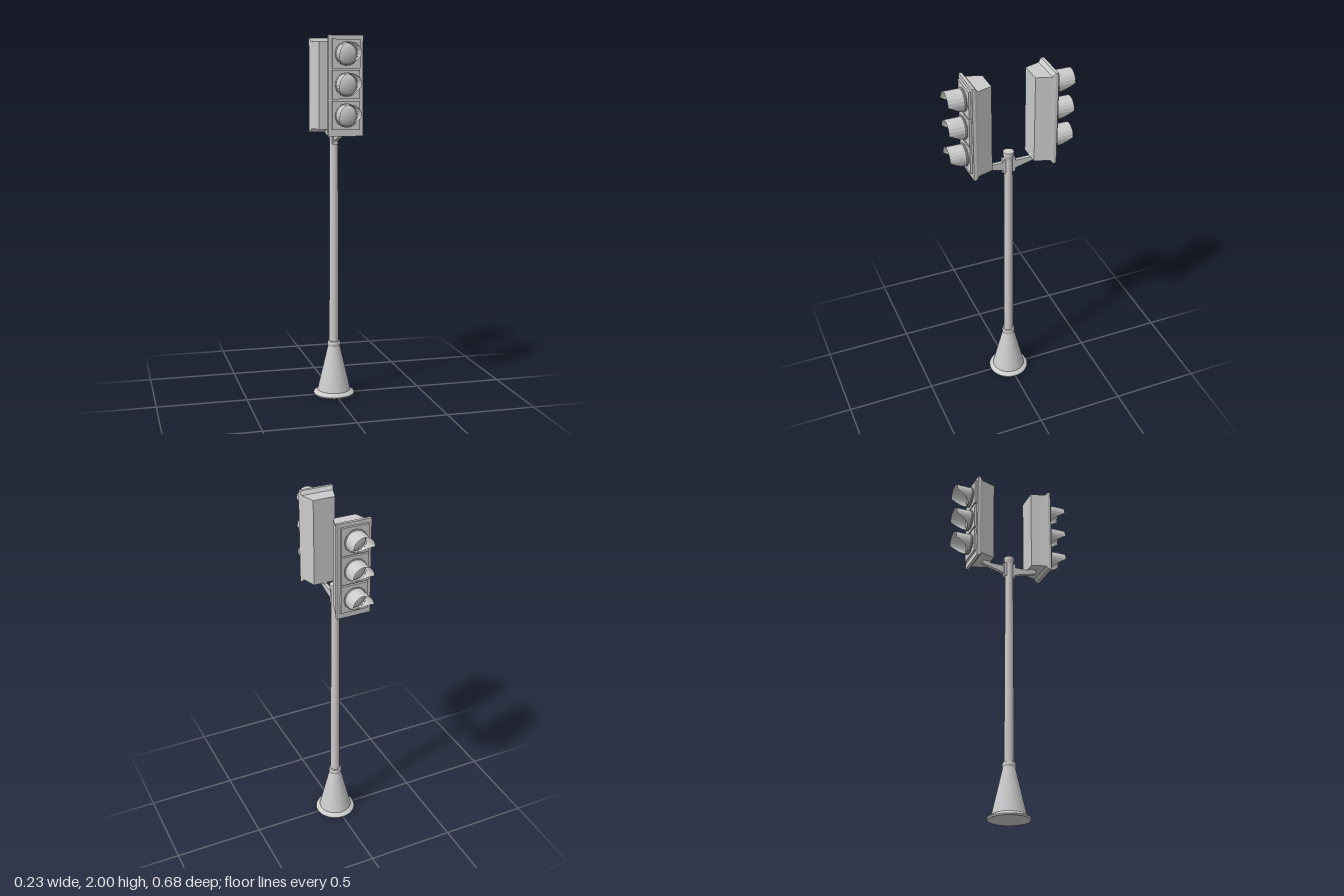
import * as THREE from 'three';

const flat = new THREE.MeshStandardMaterial({ color: 0xcccccc, flatShading: true });
const smooth = new THREE.MeshStandardMaterial({ color: 0xcccccc });
const thin = new THREE.MeshStandardMaterial({ color: 0xcccccc, flatShading: true, side: THREE.DoubleSide });

function add(parent, name, geometry, material = flat) {
  const mesh = new THREE.Mesh(geometry, material);
  mesh.name = name;
  parent.add(mesh);
  return mesh;
}

const lathe = (points, sides) =>
  new THREE.LatheGeometry(points.map(([r, y]) => new THREE.Vector2(r, y)), sides);

// Box whose cross-section changes along z: rows of [z, halfWidth, bottom, top]
function loftedBox(rows) {
  const n = rows.length - 1;
  const geometry = new THREE.BoxGeometry(1, 1, 1, 1, 1, n);
  const p = geometry.attributes.position;
  for (let i = 0; i < p.count; i++) {
    const [z, half, bottom, top] = rows[Math.round((p.getZ(i) + 0.5) * n)];
    p.setXYZ(i, Math.sign(p.getX(i)) * half, p.getY(i) > 0 ? top : bottom, z);
  }
  geometry.computeVertexNormals();
  return geometry;
}

// Visor: open tube along z with its lower half cut back towards the lamp
function visorGeometry(radius, back, front, lowFront) {
  const geometry = new THREE.CylinderGeometry(radius, radius, 2, 20, 1, true);
  geometry.rotateX(Math.PI / 2);
  const p = geometry.attributes.position;
  for (let i = 0; i < p.count; i++) {
    const rise = 1 + Math.min(0, p.getY(i) / radius);
    const tip = lowFront + (front - lowFront) * Math.pow(rise, 1.3);
    p.setZ(i, p.getZ(i) > 0 ? tip : back);
  }
  geometry.computeVertexNormals();
  return geometry;
}

function createLamp(y) {
  const lamp = new THREE.Group();
  lamp.name = 'lamp';
  lamp.position.y = y;
  add(lamp, 'lampPanel', new THREE.BoxGeometry(0.15, 0.151, 0.014)).position.z = 0.235;

  const collar = lathe([[0.055, 0.24], [0.063, 0.249], [0.063, 0.253], [0.057, 0.255]], 20);
  add(lamp, 'visorCollar', collar.rotateX(Math.PI / 2), thin);
  add(lamp, 'visor', visorGeometry(0.058, 0.242, 0.342, 0.262), thin);

  // Shallow domed lens
  const dome = new THREE.SphereGeometry(0.055, 24, 8, 0, Math.PI * 2, 0, Math.PI / 2);
  dome.rotateX(Math.PI / 2).scale(1, 1, 0.4);
  add(lamp, 'lens', dome, smooth).position.z = 0.242;
  return lamp;
}

function createSignalHead() {
  const head = new THREE.Group();
  head.name = 'signalHead';
  // Housing narrows to the rear and flares into the front plate
  add(head, 'housing', loftedBox([
    [0.117, 0.062, 1.494, 1.98],
    [0.199, 0.088, 1.494, 1.98],
    [0.214, 0.094, 1.475, 2.0],
    [0.23, 0.094, 1.475, 2.0],
  ]));
  for (const y of [1.904, 1.745, 1.585]) head.add(createLamp(y));
  return head;
}

function createBracket() {
  const bracket = new THREE.Group();
  bracket.name = 'bracket';
  add(bracket, 'clamp', new THREE.BoxGeometry(0.028, 0.084, 0.02)).position.set(0, 1.462, 0.025);
  // Arm tapers outwards and ends in a pad under the housing
  add(bracket, 'arm', loftedBox([
    [0.03, 0.01, 1.436, 1.485],
    [0.118, 0.01, 1.459, 1.485],
    [0.122, 0.01, 1.46, 1.496],
    [0.165, 0.01, 1.472, 1.496],
  ]));
  return bracket;
}

export function createModel() {
  const model = new THREE.Group();
  model.name = 'trafficLight';

  // Flanged conical foot
  add(model, 'base', lathe([
    [0, 0], [0.113, 0], [0.116, 0.008], [0.113, 0.014], [0.093, 0.026],
    [0.034, 0.28], [0, 0.28],
  ], 32));
  add(model, 'baseRing', lathe([
    [0.026, 0.278], [0.034, 0.28], [0.037, 0.289], [0.037, 0.298], [0.034, 0.307], [0.026, 0.31],
  ], 32));

  // Slightly tapering pole with a flared cap
  add(model, 'pole', new THREE.CylinderGeometry(0.023, 0.027, 1.22, 24)).position.y = 0.89;
  add(model, 'poleCap', lathe([
    [0, 1.49], [0.023, 1.49], [0.024, 1.505], [0.029, 1.525], [0.029, 1.543], [0, 1.543],
  ], 24));

  // Two heads and brackets, back to back
  for (const turn of [0, Math.PI]) {
    const head = createSignalHead();
    head.position.x = 0.006;
    const bracket = createBracket();
    head.rotation.y = bracket.rotation.y = turn;
    model.add(head, bracket);
  }
  return model;
}
